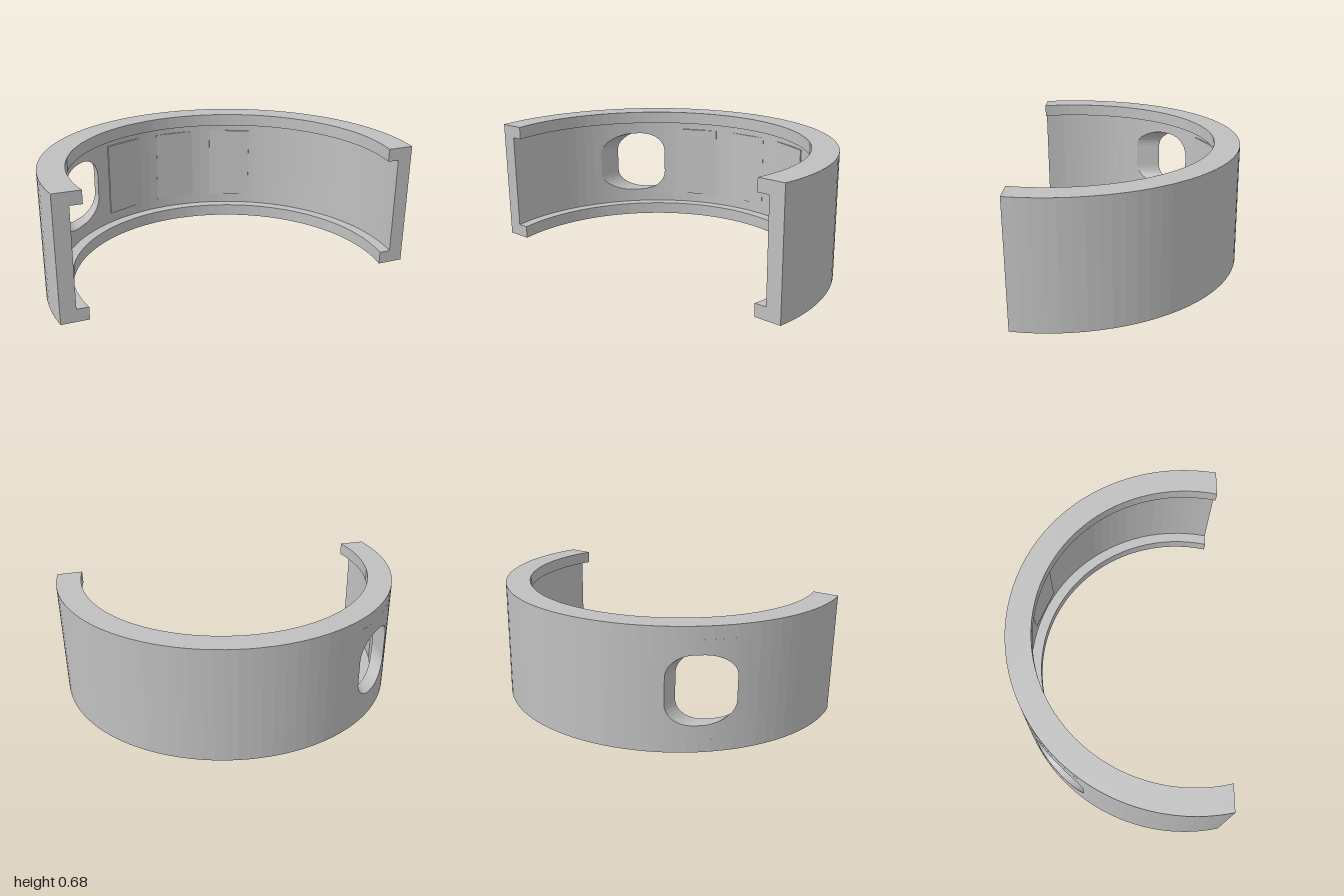
import * as THREE from 'three';

const CZ = 0.405, FRONT = 0.595;          // ring centre and the flat cut at the open side
const R_OUT = 1, R_GROOVE = 0.92, R_LIP = 0.858;
const H = 0.68, Y0 = 0.07, Y1 = 0.61;     // total height, groove limits
const HOLE = { x: -0.68, y: 0.34, hw: 0.135, hh: 0.19, r: 0.12 };

// Angles run from the back (0) towards +x
const px = (r, a) => r * Math.sin(a);
const pz = (r, a) => CZ - r * Math.cos(a);
const endAngle = (r) => Math.acos((CZ - FRONT) / r);

function arcAngles(r) {
  const e = endAngle(r), n = 56;
  return Array.from({ length: n + 1 }, (_, i) => -e + (2 * e * i) / n);
}

// Columns of the rounded opening, with its half height at each
const holeXs = Array.from({ length: 21 }, (_, i) => HOLE.x - HOLE.hw * Math.cos((Math.PI * i) / 20));
function halfHeight(x) {
  const t = Math.max(0, Math.abs(x - HOLE.x) - (HOLE.hw - HOLE.r));
  return HOLE.hh - HOLE.r + Math.sqrt(Math.max(0, HOLE.r ** 2 - t * t));
}

function quad(out, a, b, c, d) {
  out.push(...a, ...b, ...c, ...a, ...c, ...d);
}

function toGeometry(positions) {
  const g = new THREE.BufferGeometry();
  g.setAttribute('position', new THREE.Float32BufferAttribute(positions, 3));
  g.computeVertexNormals();
  return g;
}

// One curved face of the band, leaving the opening free
function curvedFace(out, r, outward) {
  const holeAngles = holeXs.map((x) => Math.asin(x / r));
  const a0 = holeAngles[0], a1 = holeAngles[holeAngles.length - 1];
  const angles = arcAngles(r).filter((a) => a < a0 - 0.002 || a > a1 + 0.002);
  angles.push(...holeAngles);
  angles.sort((a, b) => a - b);
  const p = (a, y) => [px(r, a), y, pz(r, a)];
  const strip = (a, b, la, lb, ha, hb) => {
    const c = [p(a, la), p(b, lb), p(b, hb), p(a, ha)];
    if (outward) c.reverse();
    quad(out, ...c);
  };
  for (let i = 0; i < angles.length - 1; i++) {
    const a = angles[i], b = angles[i + 1], mid = (a + b) / 2;
    if (mid > a0 && mid < a1) {
      const ha = halfHeight(px(r, a)), hb = halfHeight(px(r, b));
      strip(a, b, Y0, Y0, HOLE.y - ha, HOLE.y - hb);
      strip(a, b, HOLE.y + ha, HOLE.y + hb, Y1, Y1);
    } else strip(a, b, Y0, Y0, Y1, Y1);
  }
}

function bandGeometry() {
  const out = [];
  curvedFace(out, R_OUT, true);
  curvedFace(out, R_GROOVE, false);
  // flat ends of the open side
  const xi = px(R_GROOVE, endAngle(R_GROOVE)), xo = px(R_OUT, endAngle(R_OUT));
  for (const [a, b] of [[xi, xo], [-xo, -xi]]) {
    quad(out, [a, Y0, FRONT], [b, Y0, FRONT], [b, Y1, FRONT], [a, Y1, FRONT]);
  }
  return toGeometry(out);
}

// Walls of the opening, running straight front to back
function openingGeometry() {
  const out = [];
  const outline = [
    ...holeXs.map((x) => [x, HOLE.y - halfHeight(x)]),
    ...[...holeXs].reverse().map((x) => [x, HOLE.y + halfHeight(x)]),
  ];
  const at = ([x, y], r) => [x, y, CZ - Math.sqrt(r * r - x * x)];
  outline.forEach((p, i) => {
    const q = outline[(i + 1) % outline.length];
    quad(out, at(p, R_GROOVE), at(q, R_GROOVE), at(q, R_OUT), at(p, R_OUT));
  });
  return toGeometry(out);
}

// Upright prism over a plan outline given as [x, z] points
function prism(points, y, height) {
  const shape = new THREE.Shape(points.map(([x, z]) => new THREE.Vector2(x, -z)));
  const g = new THREE.ExtrudeGeometry(shape, { depth: height, bevelEnabled: false });
  return g.rotateX(-Math.PI / 2).translate(0, y, 0);
}

export function createModel() {
  const group = new THREE.Group();
  const grey = new THREE.MeshStandardMaterial({ color: 0xc0c0c0 });
  grey.name = 'grey';
  const add = (name, geometry) => {
    const mesh = new THREE.Mesh(geometry, grey);
    mesh.name = name;
    group.add(mesh);
  };

  add('band', bandGeometry());
  add('openingWall', openingGeometry());

  // Lips above and below the inner groove
  const arc = (r) => arcAngles(r).map((a) => [px(r, a), pz(r, a)]);
  const lip = [...arc(R_OUT), ...arc(R_LIP).reverse()];
  add('lowerLip', prism(lip, 0, Y0));
  add('upperLip', prism(lip, Y1, H - Y1));

  // Three shallow flats on the groove wall
  const flats = [[-30.3, 0.914, -14.5, 0.919], [-7.5, 0.919, 7.5, 0.919], [14.5, 0.919, 30.3, 0.914]];
  flats.forEach(([d0, r0, d1, r1], i) => {
    const a = THREE.MathUtils.degToRad(d0), b = THREE.MathUtils.degToRad(d1);
    const at = (r, t) => [px(r, t), pz(r, t)];
    add('flatPad' + (i + 1), prism([at(r0, a), at(r1, b), at(0.94, b), at(0.94, a)], 0.13, 0.43));
  });
  return group;
}
